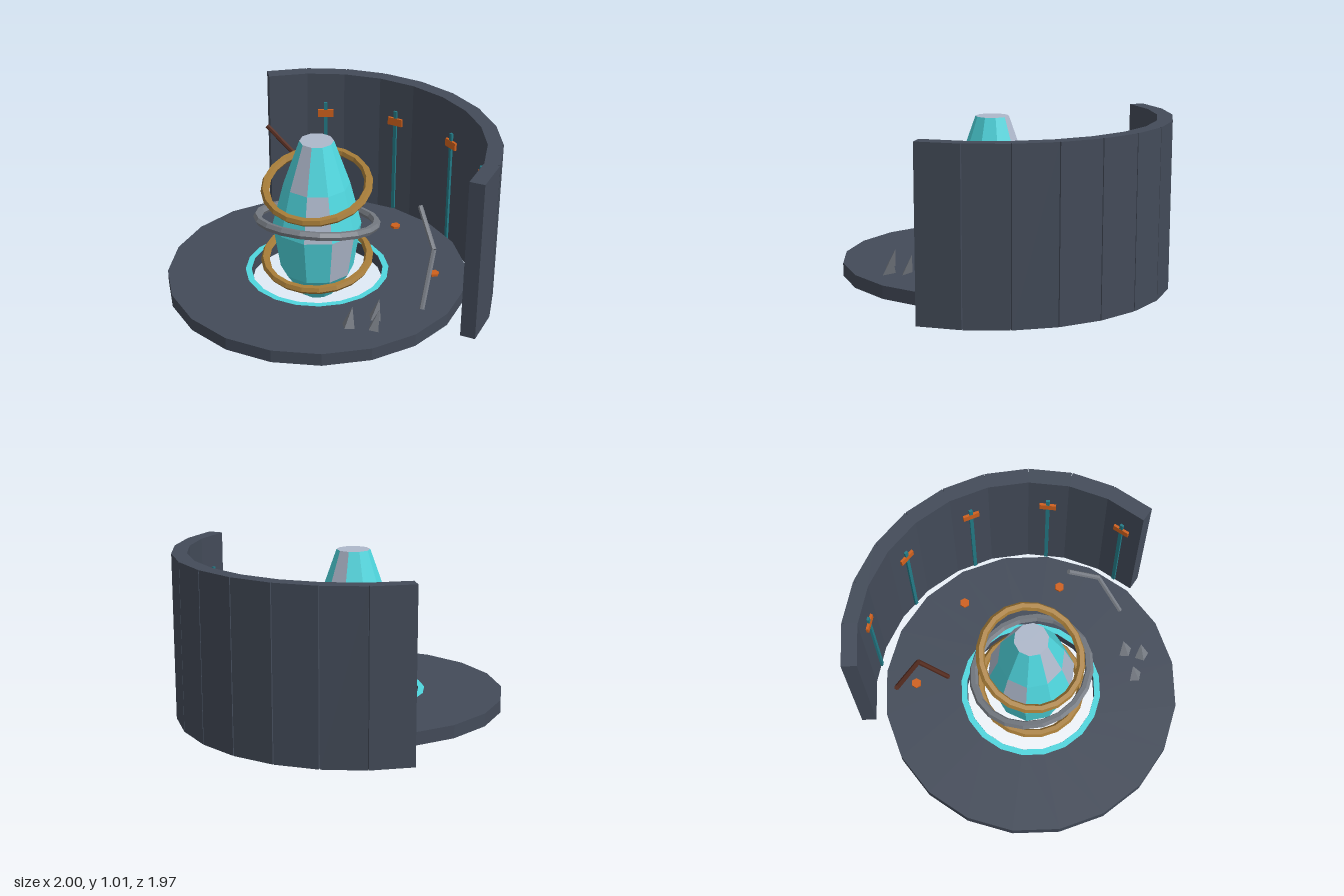
import * as THREE from 'three';

const mat = (name, color) => {
  const m = new THREE.MeshStandardMaterial({ color });
  m.name = name;
  return m;
};

// Flat facets: unshare vertices and recompute normals
const flat = (geo) => {
  const g = geo.index ? geo.toNonIndexed() : geo;
  g.computeVertexNormals();
  return g;
};

export function createModel() {
  const slate = mat('slate', 0x434b59);
  const cyan = mat('cyan', 0x4fd6de);
  const pale = mat('paleCrystal', 0xaeb8cb);
  const gold = mat('gold', 0xa67c38);
  const steel = mat('steel', 0x777c84);
  const teal = mat('teal', 0x237a86);
  const orange = mat('orange', 0xcf601c);
  const brown = mat('rustBrown', 0x552c20);

  const model = new THREE.Group();
  model.name = 'crystalShrine';
  const CZ = 0.075; // z of the common axis
  const top = 0.147; // platform surface

  const add = (name, geo, material, x = 0, y = 0, z = 0, parent = model) => {
    const mesh = new THREE.Mesh(geo, material);
    mesh.name = name;
    mesh.position.set(x, y, z);
    parent.add(mesh);
    return mesh;
  };

  // Platform: a thick disc with a round hole
  const section = [[0.395, top], [0.395, 0.07], [0.9, 0.07], [0.9, top], [0.395, top]]
    .map(([r, y]) => new THREE.Vector2(r, y));
  add('platform', flat(new THREE.LatheGeometry(section, 20)), slate, 0, 0, CZ);
  add('holeRim', new THREE.RingGeometry(0.396, 0.432, 20).rotateX(-Math.PI / 2), cyan, 0, top + 0.003, CZ);

  // Crystal: stacked ten-sided bands, some facets pale
  const crystal = new THREE.Group();
  crystal.name = 'crystal';
  crystal.position.z = CZ;
  model.add(crystal);
  const levels = [[0, 0.107], [0.17, 0.22], [0.457, 0.264], [0.73, 0.195], [1.0, 0.1]];
  const paleFacets = [[3], [2], [1, 6, 8], [0, 5]];
  paleFacets.forEach((facets, i) => {
    const [y0, r0] = levels[i];
    const [y1, r1] = levels[i + 1];
    const geo = flat(new THREE.CylinderGeometry(r1, r0, y1 - y0, 10, 1, true));
    geo.clearGroups();
    for (let f = 0; f < 10; f++) geo.addGroup(f * 6, 6, facets.includes(f) ? 1 : 0);
    add('crystalBand', geo, [cyan, pale], 0, (y0 + y1) / 2, 0, crystal);
  });
  add('crystalTop', new THREE.CircleGeometry(0.1, 10, Math.PI / 2).rotateX(-Math.PI / 2), pale, 0, 1, 0, crystal);
  add('crystalBottom', new THREE.CircleGeometry(0.107, 10, Math.PI / 2).rotateX(Math.PI / 2), pale, 0, 0, 0, crystal);

  // Tilted rings around the crystal: name, material, radius, y, tilt x, tilt z
  [
    ['upperRing', gold, 0.305, 0.713, 0.25, -0.17],
    ['middleRing', steel, 0.353, 0.485, -0.19, 0.14],
    ['lowerRing', gold, 0.312, 0.233, 0.13, -0.1],
  ].forEach(([name, m, r, y, tx, tz]) => {
    const geo = flat(new THREE.TorusGeometry(r, 0.026, 6, 20).rotateX(Math.PI / 2));
    add(name, geo, m, 0, y, CZ).rotation.set(tx, 0, tz);
  });

  // Curved wall of ten panels; every second one carries a light strip and lamp
  for (let i = 0; i < 10; i++) {
    const a = THREE.MathUtils.degToRad(-63 + 14 * i);
    const panel = new THREE.Group();
    panel.name = 'wallPanel';
    panel.position.set(0, 0, CZ);
    panel.rotation.y = -a;
    model.add(panel);
    add('panel', new THREE.BoxGeometry(0.254, 0.994, 0.09), slate, 0, 0.51, -1.013, panel);
    if (i % 2) {
      add('lightStrip', new THREE.BoxGeometry(0.022, 0.78, 0.016), teal, 0, 0.42, -0.962, panel);
      add('lamp', new THREE.BoxGeometry(0.1, 0.05, 0.018), orange, 0, 0.737, -0.962, panel);
    }
  }

  // Bent pipes leaning above the platform
  const pipe = (name, m, points) => {
    const p = points.map((q) => new THREE.Vector3(...q));
    for (let i = 0; i < p.length - 1; i++) {
      const dir = p[i + 1].clone().sub(p[i]);
      const geo = flat(new THREE.CylinderGeometry(0.015, 0.015, dir.length(), 6));
      const mid = p[i].clone().lerp(p[i + 1], 0.5);
      add(name, geo, m, mid.x, mid.y, mid.z)
        .quaternion.setFromUnitVectors(new THREE.Vector3(0, 1, 0), dir.normalize());
    }
  };
  pipe('rustyPipe', brown, [[-0.768, 0.755, -0.12], [-0.56, 0.463, -0.305], [-0.415, 0.18, -0.23]]);
  pipe('steelPipe', steel, [[0.472, 0.645, -0.315], [0.66, 0.46, -0.26], [0.745, 0.16, -0.107]]);

  // Hexagonal floor studs
  [[-0.09, -0.625], [0.49, -0.43], [-0.605, -0.295]].forEach(([x, z]) => {
    const geo = flat(new THREE.CylinderGeometry(0.031, 0.031, 0.03, 6).rotateY(Math.PI / 6));
    add('floorStud', geo, orange, x, top, z);
  });

  // Shards leaning backwards
  [[0.637, 0.165, 0.1], [0.71, 0.235, -0.15], [0.61, 0.335, 0.2]].forEach(([x, z, yaw]) => {
    const geo = new THREE.ConeGeometry(0.058, 0.135, 3).scale(1, 1, 0.4).translate(0, 0.0675, 0);
    const shard = add('shard', flat(geo), steel, x, top - 0.01, z);
    shard.rotation.set(-0.37, yaw, 0, 'YXZ');
  });

  return model;
}
